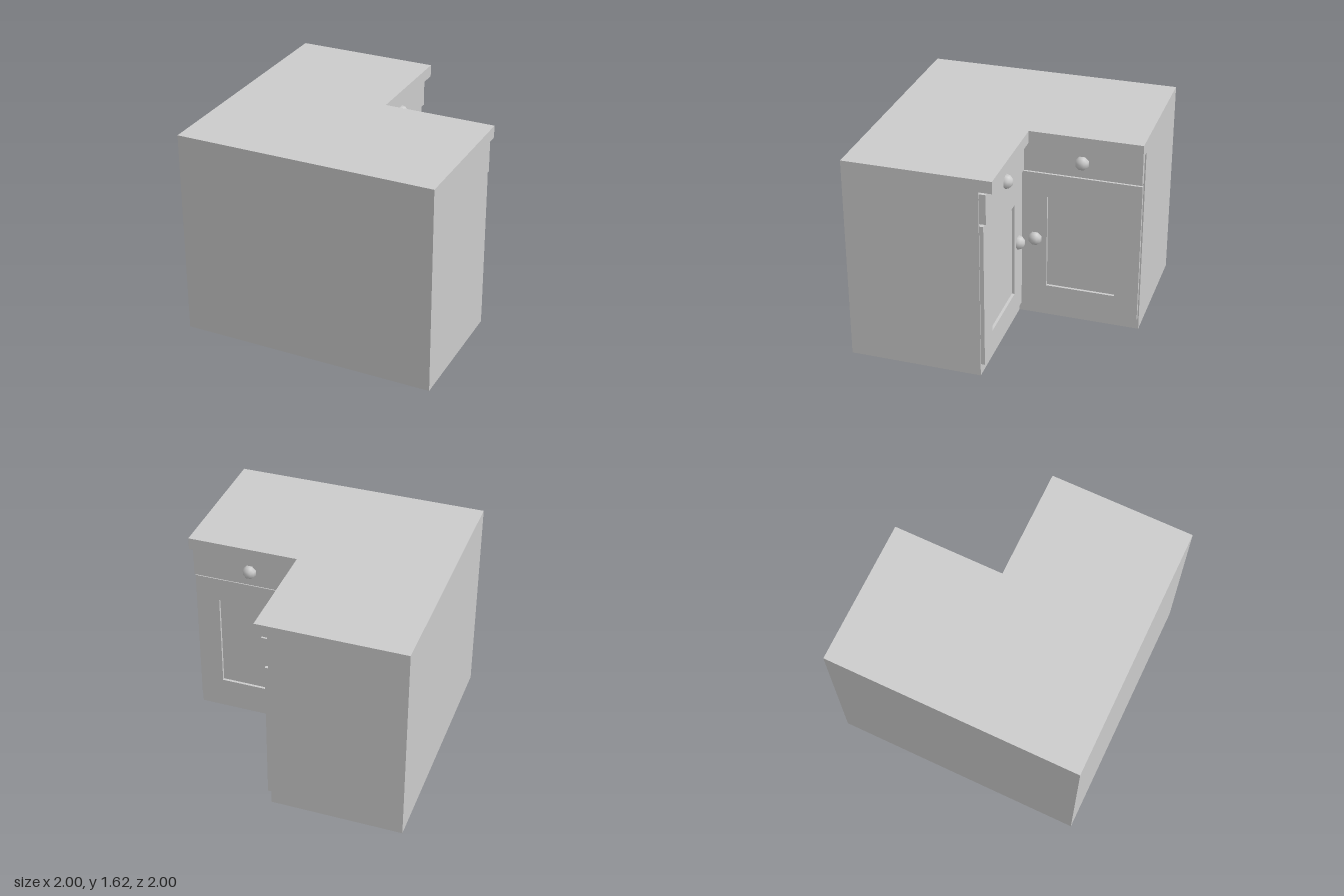
import * as THREE from 'three';

const material = new THREE.MeshStandardMaterial({ color: 0xcccccc });
const FACE = 0.03; // distance of the carcass faces from the centre lines
const END = 0.99; // outer end of doors and drawers

function addMesh(parent, name, geometry, x = 0, y = 0, z = 0) {
  const mesh = new THREE.Mesh(geometry, material);
  mesh.name = name;
  mesh.position.set(x, y, z);
  parent.add(mesh);
  return mesh;
}

// L-shaped slab with its inner corner at (c, -c)
function lSlab(c, height) {
  const shape = new THREE.Shape(
    [[-1, -1], [1, -1], [1, c], [c, c], [c, 1], [-1, 1]].map(([x, y]) => new THREE.Vector2(x, y))
  );
  return new THREE.ExtrudeGeometry(shape, { depth: height, bevelEnabled: false }).rotateX(-Math.PI / 2);
}

// Rectangular frame around a rectangular opening
function frame(w, h, openW, openH, openY, depth) {
  const rect = (path, rw, rh, cy) => path
    .moveTo(-rw / 2, cy - rh / 2).lineTo(rw / 2, cy - rh / 2)
    .lineTo(rw / 2, cy + rh / 2).lineTo(-rw / 2, cy + rh / 2).closePath();
  const shape = rect(new THREE.Shape(), w, h, 0);
  shape.holes.push(rect(new THREE.Path(), openW, openH, openY));
  return new THREE.ExtrudeGeometry(shape, { depth, bevelEnabled: false });
}

// Faceted ball knob, half sunk into the surface
function knobGeometry() {
  return new THREE.SphereGeometry(0.056, 8, 6).rotateY(Math.PI / 8).rotateX(Math.PI / 2);
}

// One cabinet front facing local +z; side says which way it runs from the corner
function cabinetFront(name, side, drawerStart) {
  const front = new THREE.Group();
  front.name = name;

  const drawerDepth = 0.05;
  const drawerW = END - drawerStart;
  addMesh(front, 'drawer', new THREE.BoxGeometry(drawerW, 0.235, drawerDepth),
    side * (drawerStart + END) / 2, 1.3925, FACE + drawerDepth / 2);
  addMesh(front, 'drawerKnob', knobGeometry(), side * 0.53, 1.395, FACE + drawerDepth);

  const doorDepth = 0.03;
  const doorX = side * 0.53;
  const doorY = 0.675;
  addMesh(front, 'doorFrame', frame(0.92, 1.16, 0.545, 0.78, -0.005, doorDepth), doorX, doorY, FACE);
  addMesh(front, 'doorPanel', new THREE.BoxGeometry(0.56, 0.8, 0.008), doorX, doorY - 0.005, FACE + 0.004);
  addMesh(front, 'doorKnob', knobGeometry(), side * 0.165, 0.69, FACE + doorDepth);
  return front;
}

export function createModel() {
  const model = new THREE.Group();
  model.name = 'cornerCabinet';

  addMesh(model, 'carcass', lSlab(FACE, 1.53));
  addMesh(model, 'countertop', lSlab(0.13, 0.095), 0, 1.53, 0);

  // Two fronts meeting at the inner corner
  const backFront = cabinetFront('backFront', -1, FACE);
  backFront.rotation.y = Math.PI;
  const sideFront = cabinetFront('sideFront', 1, FACE + 0.05);
  sideFront.rotation.y = Math.PI / 2;
  model.add(backFront, sideFront);

  return model;
}
